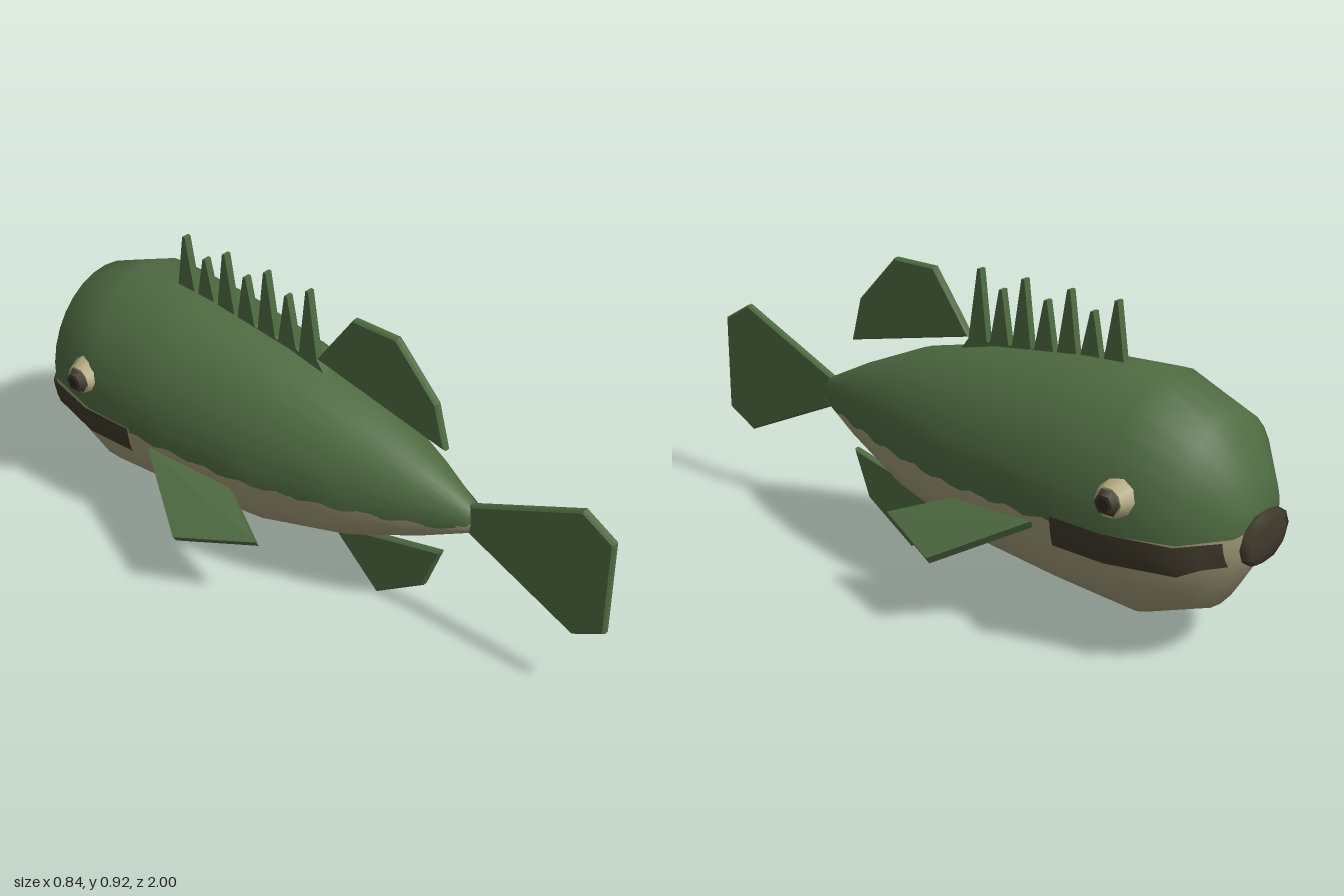
import * as THREE from 'three';
import { ConvexGeometry } from 'three/addons/geometries/ConvexGeometry.js';

// Body cross-sections from nose to tail: z, half width, centre y, half height
const SECTIONS = [
  [-0.96, 0.001, 0.4, 0.001], [-0.955, 0.11, 0.425, 0.125], [-0.86, 0.232, 0.42, 0.27],
  [-0.67, 0.278, 0.423, 0.343], [-0.4, 0.272, 0.425, 0.325], [-0.1, 0.242, 0.42, 0.29],
  [0.18, 0.182, 0.425, 0.218], [0.4, 0.1, 0.425, 0.122], [0.55, 0.035, 0.425, 0.045],
  [0.556, 0.001, 0.415, 0.001],
];
const BODY_Z = SECTIONS.map((s) => s[0]);

function sectionAt(z) {
  let i = 0;
  while (i < SECTIONS.length - 2 && z > SECTIONS[i + 1][0]) i++;
  const a = SECTIONS[i], b = SECTIONS[i + 1];
  const f = (z - a[0]) / (b[0] - a[0]);
  return a.map((v, k) => v + (b[k] - v) * f);
}

// Angle from the top of the body, at which its skin reaches height y
function angleAt(z, y) {
  const [, , cy, ry] = sectionAt(z);
  return Math.acos(THREE.MathUtils.clamp((y - cy) / ry, -1, 1));
}

// Height where the green back meets the pale belly
const splitY = (z) => (z < -0.5 ? 0.385 - (z + 0.5) * 0.033 : 0.385 + Math.max(0, z + 0.1) * 0.046);

// Patch of skin between two angles, along a list of z positions
function skin(zs, from, to, n, lift = 0) {
  const pos = [], index = [];
  zs.forEach((z, i) => {
    const [, rx, cy, ry] = sectionAt(z);
    const t0 = from(z), t1 = to(z);
    for (let j = 0; j <= n; j++) {
      const t = t0 + ((t1 - t0) * j) / n;
      pos.push((rx + lift) * Math.sin(t), cy + (ry + lift) * Math.cos(t), z);
      if (i < zs.length - 1 && j < n) {
        const a = i * (n + 1) + j, b = a + n + 1;
        index.push(a, b, a + 1, b, b + 1, a + 1);
      }
    }
  });
  const g = new THREE.BufferGeometry();
  g.setAttribute('position', new THREE.Float32BufferAttribute(pos, 3));
  g.setIndex(index);
  g.computeVertexNormals();
  return g;
}

// Upright fin plate from a (z, y) outline
function finPlate(points, bevel = 0.006, width = 0.026) {
  const shape = new THREE.Shape(points.map(([z, y]) => new THREE.Vector2(z, y)));
  const depth = width - 2 * bevel;
  return new THREE.ExtrudeGeometry(shape, {
    depth, bevelEnabled: bevel > 0, bevelSize: bevel, bevelOffset: -bevel, bevelThickness: bevel, bevelSegments: 1,
  }).translate(0, 0, -depth / 2).rotateY(-Math.PI / 2);
}

const range = (a, b, n) => Array.from({ length: n + 1 }, (_, i) => a + ((b - a) * i) / n);

export function createModel() {
  const model = new THREE.Group();
  const mat = (name, color, side = THREE.FrontSide) => {
    const m = new THREE.MeshStandardMaterial({ color, side });
    m.name = name;
    return m;
  };
  const green = mat('scale green', 0x4f6b42, THREE.DoubleSide);
  const cream = mat('belly cream', 0xa39c7a);
  const brown = mat('lip brown', 0x403a2c, THREE.DoubleSide);
  const ringTan = mat('eye tan', 0xb4ab82);
  const pupilDark = mat('pupil dark', 0x2b281f);
  const add = (name, geometry, material) => {
    const mesh = new THREE.Mesh(geometry, material);
    mesh.name = name;
    model.add(mesh);
    return mesh;
  };

  // Body in two colours
  const split = (z) => angleAt(z, splitY(z));
  add('back', skin(BODY_Z, (z) => -split(z), split, 16), green);
  add('belly', skin(BODY_Z, split, (z) => 2 * Math.PI - split(z), 14), cream);

  // Upright fins
  add('tailFin', finPlate([[0.54, 0.47], [0.9, 0.63], [1, 0.57], [1, 0.27], [0.9, 0.215], [0.54, 0.38]]), green);
  add('rearDorsalFin', finPlate([[0.455, 0.61], [0.42, 0.745], [0.28, 0.895], [0.13, 0.895], [0, 0.715]]), green);
  add('analFin', finPlate([[0.455, 0.262], [0.4, 0.115], [0.23, 0], [0.06, 0.165]]), green);

  // Row of dorsal spines
  const spines = [[0.04, 0.66]];
  for (let i = 0; i < 7; i++) {
    const z = -0.035 - i * 0.078;
    const base = 0.712 + i * 0.006;
    spines.push([z + 0.036, base], [z + 0.005, i % 2 ? 0.875 : 0.92], [z - 0.005, i % 2 ? 0.875 : 0.92], [z - 0.03, base]);
  }
  spines.push([-0.52, 0.68]);
  add('dorsalSpines', finPlate(spines, 0, 0.024), green);

  // Front lip
  const lip = add('frontLip', new THREE.SphereGeometry(1, 8, 6), brown);
  lip.scale.set(0.12, 0.075, 0.02);
  lip.position.set(0, 0.38, -0.98);

  for (const s of [1, -1]) {
    const side = s > 0 ? 'left' : 'right';
    // Lay a strip on one flank between two heights
    const strip = (name, zs, low, high, lift, material) => {
      const hi = (z) => angleAt(z, high(z)), lo = (z) => angleAt(z, low(z));
      const g = s > 0 ? skin(zs, hi, lo, 3, lift) : skin(zs, (z) => -lo(z), (z) => -hi(z), 3, lift);
      add(name, g, material);
    };

    // Mouth along the jaw
    strip(side + 'Mouth', [-0.94, -0.9, -0.86, -0.77, -0.67, -0.58, -0.5],
      (z) => (z < -0.86 ? 0.325 : 0.312), () => 0.397, 0.011, brown);

    // Overlapping flank bands with wavy lower edges
    [[-0.5, -0.245], [-0.25, 0.065], [0.06, 0.335], [0.33, 0.53]].forEach(([a, b], i) => {
      strip(side + 'FlankBand' + (i + 1), range(a, b, 8),
        (z) => splitY(z) - 0.008 + 0.007 * Math.sin(z * 50),
        (z) => Math.min(0.475, 0.475 - Math.max(0, z - 0.2) * 0.1), 0.005 + (i % 2) * 0.002, green);
    });

    // Pectoral fin sweeping out and back
    const corners = [[0.265, 0.348, -0.43], [0.413, 0.222, -0.19], [0.315, 0.262, 0.04], [0.235, 0.325, -0.13]];
    const pts = corners.flatMap(([x, y, z]) => [1, -1].map((k) =>
      new THREE.Vector3(s * (x + k * 0.007), y + k * 0.01, z)));
    add(side + 'PectoralFin', new ConvexGeometry(pts), green);

    // Eye: tan socket, brown iris, dark pupil
    const eye = new THREE.Group();
    eye.name = side + 'Eye';
    const eyePart = (name, geometry, material, x) => {
      const m = new THREE.Mesh(geometry, material);
      m.name = name;
      m.position.x = s * x;
      m.rotation.z = -s * Math.PI / 2;
      eye.add(m);
    };
    eyePart('eyeSocket', new THREE.CylinderGeometry(0.042, 0.06, 0.045, 10), ringTan, 0.268);
    eyePart('iris', new THREE.CylinderGeometry(0.028, 0.042, 0.024, 6), brown, 0.298);
    eyePart('pupil', new THREE.CylinderGeometry(0.02, 0.02, 0.004, 6), pupilDark, 0.311);
    eye.position.set(0, 0.49, -0.69);
    model.add(eye);
  }
  return model;
}
